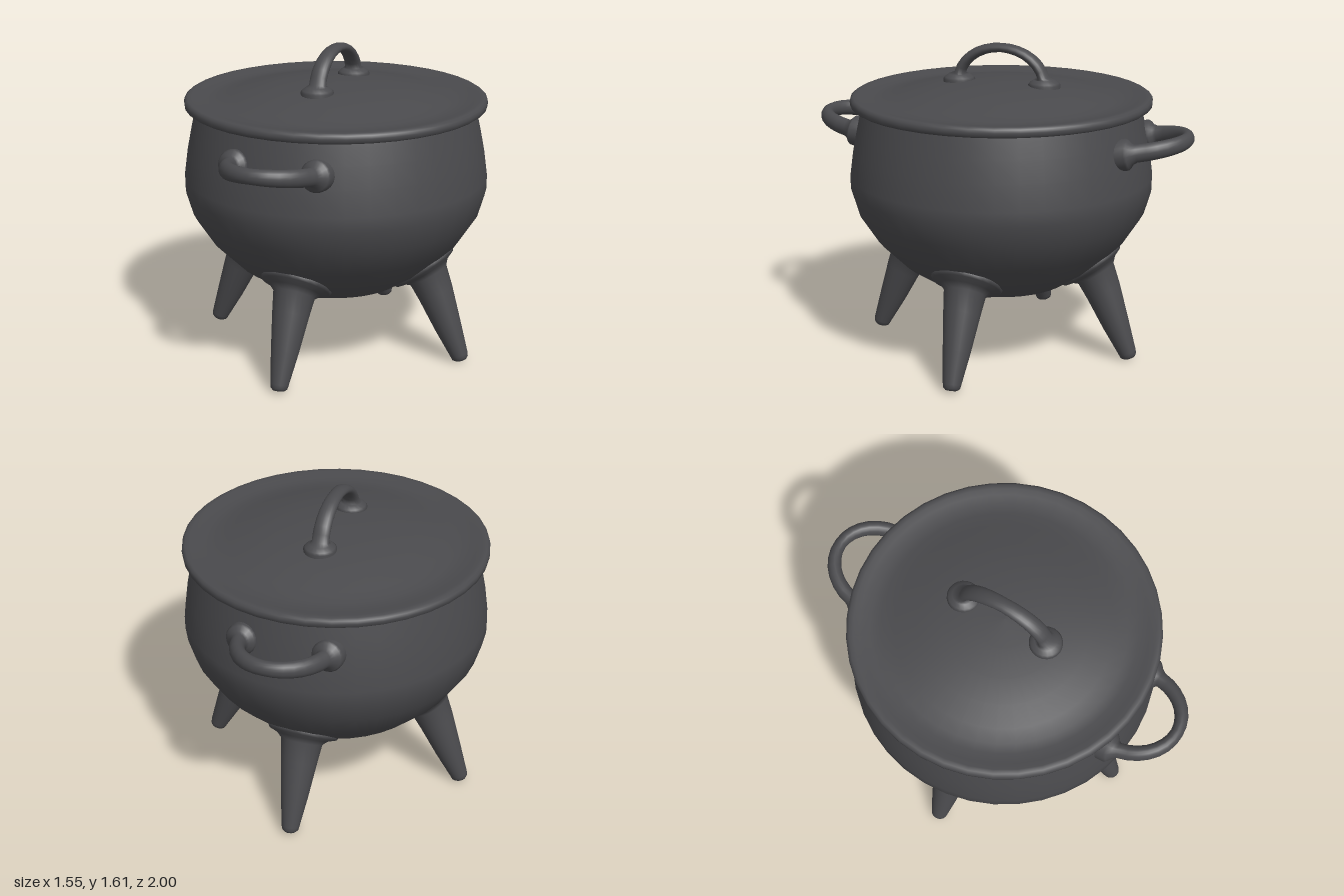
import * as THREE from 'three';

const iron = new THREE.MeshStandardMaterial({ color: 0x4a4a4d });
iron.name = 'castIron';

const add = (parent, name, geometry) => {
  const mesh = new THREE.Mesh(geometry, iron);
  mesh.name = name;
  parent.add(mesh);
  return mesh;
};

// Spin a profile listed from bottom centre, outward, to top centre
const lathe = (profile) =>
  new THREE.LatheGeometry(profile.map(([r, y]) => new THREE.Vector2(r, y)), 40);

// Skin round rings set along a path in the xy plane.
// Each section: [x, y, in-plane radius, tilt in degrees, z radius]
function loft(sections, sides = 20) {
  const pos = [], index = [];
  for (const [x, y, r, tilt, rz = r] of sections) {
    const t = THREE.MathUtils.degToRad(tilt);
    for (let j = 0; j < sides; j++) {
      const a = (j / sides) * Math.PI * 2, c = Math.cos(a) * r;
      pos.push(x + c * Math.cos(t), y + c * Math.sin(t), Math.sin(a) * rz);
    }
  }
  for (let i = 0; i < sections.length - 1; i++) {
    for (let j = 0; j < sides; j++) {
      const k = (j + 1) % sides;
      const a = i * sides + j, b = i * sides + k, c = a + sides, d = b + sides;
      index.push(a, b, c, b, d, c);
    }
  }
  const g = new THREE.BufferGeometry();
  g.setAttribute('position', new THREE.Float32BufferAttribute(pos, 3));
  g.setIndex(index);
  g.computeVertexNormals();
  return g;
}

// Arched handle with a flared foot at each end; rises along +y from y = 0
function handleGeometry(a, b, r, rz, flare) {
  const foot = [[-0.05, flare], [0.005, flare], [0.015, flare * 0.9], [0.03, flare * 0.66]];
  const sections = foot.map(([y, f]) => [a, y, f, 180, f]);
  const steps = 16;
  for (let i = 1; i < steps; i++) {
    const t = (i / steps) * Math.PI;
    const nx = Math.cos(t) / a, ny = Math.sin(t) / b;
    const tilt = THREE.MathUtils.radToDeg(Math.atan2(ny, nx)) + 180;
    const thick = 1 + 0.2 * Math.abs(Math.cos(t));
    sections.push([a * Math.cos(t), b * Math.sin(t), r * thick, tilt, rz * thick]);
  }
  foot.reverse().forEach(([y, f]) => sections.push([-a, y, f, 360, f]));
  return loft(sections);
}

export function createModel() {
  const model = new THREE.Group();
  model.name = 'cauldron';

  // Round-bellied pot
  add(model, 'pot', lathe([
    [0, 0.3], [0.17, 0.315], [0.36, 0.385], [0.52, 0.49], [0.65, 0.62], [0.74, 0.76],
    [0.775, 0.88], [0.775, 0.95], [0.757, 1.08], [0.735, 1.19], [0.715, 1.28], [0.705, 1.32],
  ]));

  // Domed lid with a raised outer lip
  add(model, 'lid', lathe([
    [0, 1.306], [0.73, 1.305], [0.755, 1.305], [0.766, 1.313], [0.768, 1.33], [0.765, 1.346],
    [0.752, 1.355], [0.73, 1.355], [0.7, 1.349], [0.65, 1.342], [0.6, 1.343], [0.53, 1.357],
    [0.42, 1.383], [0.3, 1.403], [0.15, 1.416], [0, 1.42],
  ]));

  // Lid handle, running front to back
  const lidHandle = add(model, 'lidHandle', handleGeometry(0.23, 0.178, 0.023, 0.037, 0.082));
  lidHandle.position.y = 1.412;
  lidHandle.rotation.y = Math.PI / 2;

  // Front and back carrying handles, tipped slightly upward
  const carryGeometry = handleGeometry(0.215, 0.25, 0.031, 0.037, 0.078);
  ['frontHandle', 'backHandle'].forEach((name, i) => {
    const pivot = new THREE.Group();
    pivot.name = name + 'Mount';
    pivot.rotation.y = i * Math.PI;
    const handle = add(pivot, name, carryGeometry);
    handle.position.set(0, 1.15, 0.722);
    handle.rotation.x = Math.PI / 2 - 0.17;
    model.add(pivot);
  });

  // Four splayed, tapering legs with flared tops hugging the belly
  const legGeometry = loft([
    [0.44, 0.56, 0.18, 37], [0.488, 0.497, 0.182, 37], [0.498, 0.484, 0.172, 37],
    [0.507, 0.472, 0.13, 36], [0.518, 0.452, 0.106, 34], [0.56, 0.36, 0.093, 28],
    [0.63, 0.19, 0.07, 24], [0.695, 0.04, 0.046, 21], [0.701, 0.022, 0.042, 20],
    [0.706, 0.012, 0.03, 18], [0.706, 0.01, 0, 18],
  ], 24);
  ['leftLeg', 'backLeg', 'rightLeg', 'frontLeg'].forEach((name, i) => {
    add(model, name, legGeometry).rotation.y = (i * Math.PI) / 2;
  });

  return model;
}
